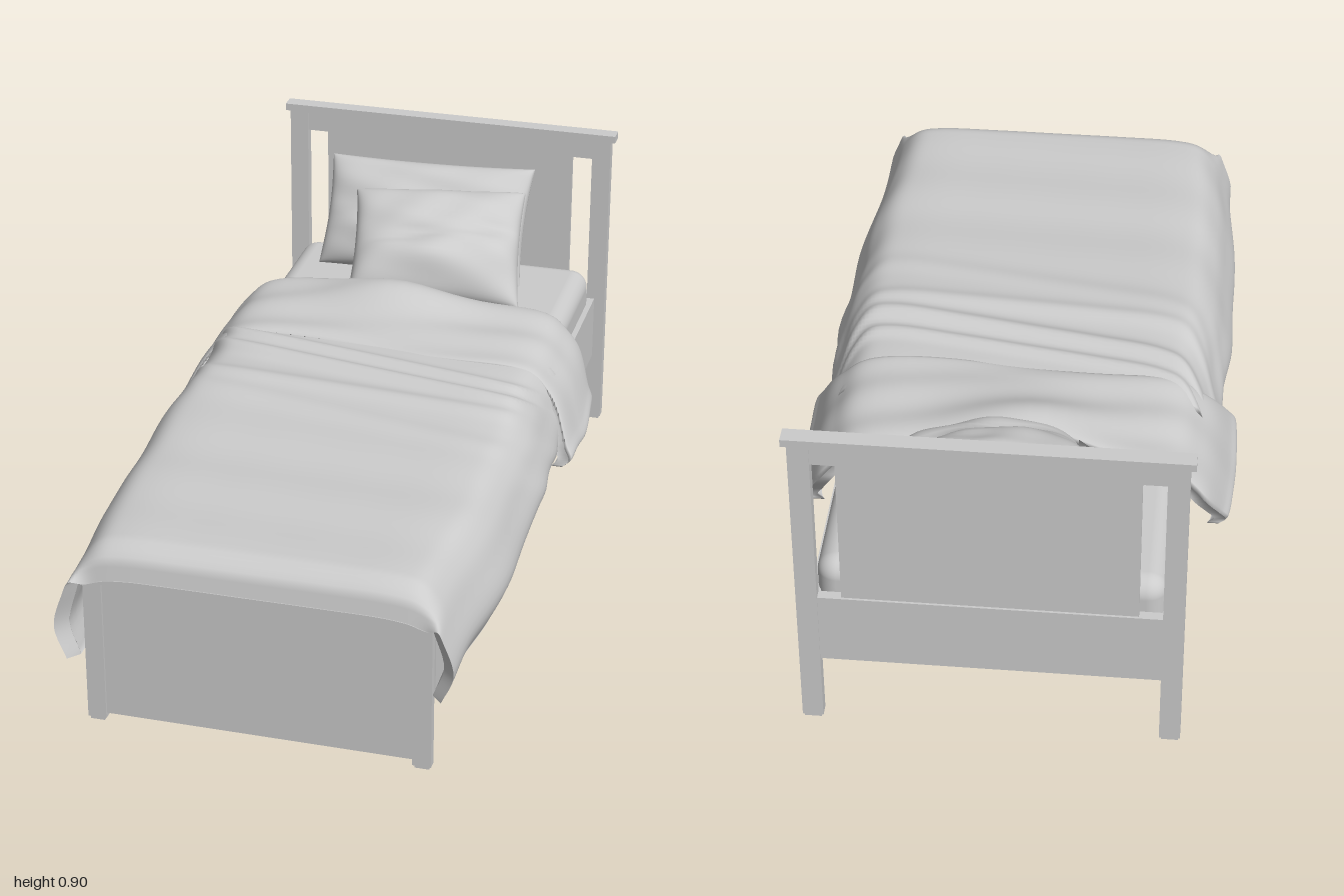
import * as THREE from 'three';
import { RoundedBoxGeometry } from 'three/addons/geometries/RoundedBoxGeometry.js';

const material = new THREE.MeshStandardMaterial({ color: 0xcccccc, side: THREE.DoubleSide });
const { smoothstep, lerp } = THREE.MathUtils;
const ridge = (d, width, height) => height * Math.exp(-((d / width) ** 2));

function addMesh(parent, name, geometry, x = 0, y = 0, z = 0) {
  const mesh = new THREE.Mesh(geometry, material);
  mesh.name = name;
  mesh.position.set(x, y, z);
  parent.add(mesh);
  return mesh;
}

// Box given by its limits on each axis
function addBox(parent, name, [x0, x1], [y0, y1], [z0, z1]) {
  const geometry = new THREE.BoxGeometry(x1 - x0, y1 - y0, z1 - z0);
  return addMesh(parent, name, geometry, (x0 + x1) / 2, (y0 + y1) / 2, (z0 + z1) / 2);
}

// Closed soft shell made of an outer and an inner surface, joined around the rim
function shell(nu, nv, outer, inner) {
  const positions = [], index = [];
  for (const surface of [outer, inner])
    for (let j = 0; j <= nv; j++)
      for (let i = 0; i <= nu; i++) positions.push(...surface(i / nu, j / nv));
  const layer = (nu + 1) * (nv + 1);
  const at = (i, j) => j * (nu + 1) + i;
  const quad = (a, b, c, d) => index.push(a, b, c, a, c, d);
  for (let j = 0; j < nv; j++)
    for (let i = 0; i < nu; i++) {
      const [a, b, c, d] = [at(i, j), at(i, j + 1), at(i + 1, j + 1), at(i + 1, j)];
      quad(a, b, c, d);
      quad(a + layer, d + layer, c + layer, b + layer);
    }
  const rim = (a, b) => quad(b, a, a + layer, b + layer);
  for (let i = 0; i < nu; i++) {
    rim(at(i, 0), at(i + 1, 0));
    rim(at(i + 1, nv), at(i, nv));
  }
  for (let j = 0; j < nv; j++) {
    rim(at(0, j + 1), at(0, j));
    rim(at(nu, j), at(nu, j + 1));
  }
  const geometry = new THREE.BufferGeometry();
  geometry.setAttribute('position', new THREE.Float32BufferAttribute(positions, 3));
  geometry.setIndex(index);
  geometry.computeVertexNormals();
  return geometry;
}

// Half cross-sections of draped cloth: fraction of half width, fraction of drop
const profile = (points) => new THREE.CatmullRomCurve3(points.map(([x, y]) => new THREE.Vector3(x, y, 0)));
const duvetProfile = profile([
  [0, 0], [0.35, 0], [0.68, 0.01], [0.8, 0.05], [0.89, 0.2], [0.95, 0.42], [1, 0.72], [0.94, 1],
]);
const foldProfile = profile([
  [0, 0], [0.35, 0], [0.64, 0.02], [0.75, 0.085], [0.84, 0.27], [0.9, 0.45], [0.97, 0.78], [1, 0.92], [0.97, 1],
]);

function drapePoint(curve, u, width, top, hem) {
  const p = curve.getPoint(Math.abs(2 * u - 1));
  return [Math.sign(u - 0.5) * p.x * width, lerp(top, hem, p.y), p.y];
}

// Main duvet, hanging at both sides and over the foot end
function duvetPoint(u, v) {
  const roll = smoothstep(v, 0.9, 1);
  let z = lerp(-0.3, 0.945, Math.min(v / 0.94, 1));
  const side = Math.sign(u - 0.5);
  const width = 0.53 - 0.03 * smoothstep(z, 0.45, 0.95) - 0.015 * smoothstep(-z, -0.2, 0.1)
    + 0.003 * Math.sin(z * 13 + side);
  const top = 0.526 - 0.02 * smoothstep(z, 0, 0.5) - 0.004 * smoothstep(z, 0.5, 0.9);
  const hem = (side < 0 ? 0.192 : 0.222) + 0.065 * smoothstep(-z, -0.55, 0.15) + 0.004 * Math.sin(z * 17);
  let [x, y, drop] = drapePoint(duvetProfile, u, width, top, hem);
  // Diagonal creases gathered near the folded-back part, fading to the foot
  const crease = z - 0.17 * x + 0.35 * drop;
  y += (1 - drop) * (ridge(crease + 0.14, 0.022, 0.014) + ridge(crease + 0.06, 0.03, 0.02)
    + ridge(crease - 0.05 + 0.1 * x, 0.03, 0.01) + ridge(crease - 0.17, 0.04, 0.006)
    + 0.002 * Math.sin(crease * 24 + 3 * x));
  x += side * drop * (ridge(crease - 0.1, 0.05, 0.01) + ridge(crease - 0.28, 0.05, 0.007));
  // Foot end rolls down in the middle and forms ears at the corners
  const middle = 1 - smoothstep(drop, 0.03, 0.35);
  y -= 0.085 * roll * middle;
  z += roll * lerp(0.045, 0.017, middle);
  return [x, y, z];
}

// Part folded back towards the foot, raised where it meets the pillow
function foldPoint(u, v) {
  const side = Math.sign(u - 0.5);
  const width = 0.56 + 0.004 * Math.sin(5 * v + side) - (side > 0 ? 0.025 * (1 - smoothstep(v, 0, 0.6)) : 0);
  const [x0, y0, drop] = drapePoint(foldProfile, u, width, 0.537, 0.288 + 0.008 * Math.sin(9 * v));
  const head = -0.53 - 0.045 * smoothstep(Math.abs(x0), 0.05, 0.38) + 0.075 * smoothstep(drop, 0.35, 1);
  const foot = -0.2 + 0.015 * Math.sin(x0 * 7) + 0.1 * smoothstep(drop, 0.1, 1);
  const z = lerp(head, foot, v);
  const edge = Math.sqrt(Math.max(0, 1 - Math.abs(2 * v - 1) ** 8));
  const hump = ridge(x0 + 0.04, 0.2, 0.062) * (1 - smoothstep(v, 0.1, 0.8));
  const wave = 0.004 * Math.sin(z * 38 + x0 * 6) * (1 - drop);
  return [x0 - side * 0.012 * (1 - edge) * drop, y0 + hump + wave - 0.018 * (1 - edge) * (1 - drop), z];
}

function lining(surface, thickness) {
  return (u, v) => {
    const [x, y, z] = surface(u, v);
    const sideways = smoothstep(Math.abs(x), 0.36, 0.5);
    const front = smoothstep(z, 0.9, 0.96);
    return [x - Math.sign(x) * thickness * sideways, y - thickness * (1 - sideways) * (1 - front), z - thickness * front];
  };
}

// Cushion with pinched seams, pointed corners and a few soft wrinkles
function pillowGeometry(width, height, depth, sag) {
  const surface = (face) => (u, v) => {
    // Sine spacing gathers the rows at the seams, which keeps the edges plump
    const a = Math.sin((u - 0.5) * Math.PI), b = Math.sin((0.5 - v) * Math.PI);
    const x = (a * width / 2) * (1 - 0.04 * (1 - b * b));
    const y = (b * height / 2) * (1 - 0.05 * (1 - a * a)) + 0.006 * a * b;
    const puff = Math.pow((1 - a * a) * (1 - b * b), 0.38);
    const wrinkle = 0.004 * Math.sin(9 * b + 4 * a) + 0.003 * Math.sin(8 * a - 5 * b);
    const bulge = face > 0 ? ridge(b + 0.45 - 0.15 * a, 0.35, sag) - ridge(b - 0.02 - 0.2 * a, 0.1, sag * 0.5) : 0;
    return [x, y, face * puff * (depth / 2 + wrinkle + bulge)];
  };
  return shell(40, 32, surface(1), surface(-1));
}

export function createModel() {
  const bed = new THREE.Group();
  bed.name = 'bed';

  const frame = new THREE.Group();
  frame.name = 'frame';
  frame.position.x = 0.004;
  bed.add(frame);

  const headboard = new THREE.Group();
  headboard.name = 'headboard';
  addBox(headboard, 'headboardCap', [-0.483, 0.483], [0.877, 0.897], [-1, -0.957]);
  addBox(headboard, 'headboardTopRail', [-0.42, 0.42], [0.82, 0.88], [-0.99, -0.965]);
  addBox(headboard, 'headboardPanel', [-0.36, 0.36], [0.38, 0.83], [-0.984, -0.97]);
  addBox(headboard, 'headboardLowerRail', [-0.42, 0.42], [0.2, 0.4], [-0.99, -0.965]);

  const footboard = new THREE.Group();
  footboard.name = 'footboard';
  addBox(footboard, 'footboardPanel', [-0.4, 0.4], [0.02, 0.39], [0.93, 0.945]);
  addBox(footboard, 'footboardCap', [-0.435, 0.435], [0.39, 0.41], [0.925, 0.952]);

  // Posts and rails, mirrored
  for (const s of [-1, 1]) {
    const span = (a, b) => (s > 0 ? [a, b] : [-b, -a]);
    addBox(headboard, 'headboardPost', span(0.418, 0.47), [0.008, 0.88], [-0.993, -0.962]);
    addBox(headboard, 'headboardFoot', span(0.423, 0.465), [0, 0.008], [-0.99, -0.965]);
    addBox(footboard, 'footboardPost', span(0.39, 0.437), [0.008, 0.39], [0.927, 0.952]);
    addBox(footboard, 'footboardFoot', span(0.395, 0.432), [0, 0.008], [0.93, 0.949]);
    addBox(frame, 'sideRail', span(0.415, 0.44), [0.205, 0.387], [-0.965, 0.928]);
  }
  frame.add(headboard, footboard);

  addBox(frame, 'mattressBase', [-0.415, 0.415], [0.295, 0.32], [-0.965, 0.93]);
  addMesh(frame, 'mattress', new RoundedBoxGeometry(0.85, 0.185, 1.84, 6, 0.05), 0, 0.393, -0.045);

  addMesh(bed, 'duvet', shell(72, 110, duvetPoint, lining(duvetPoint, 0.03)));
  addMesh(bed, 'duvetFold', shell(72, 44, foldPoint, lining(foldPoint, 0.03)));

  const backPillow = addMesh(bed, 'backPillow', pillowGeometry(0.59, 0.33, 0.16, 0.012), -0.035, 0.627, -0.865);
  backPillow.rotation.set(-0.55, 0.03, -0.01, 'YXZ');
  const frontPillow = addMesh(bed, 'frontPillow', pillowGeometry(0.48, 0.36, 0.19, 0.025), 0.035, 0.612, -0.71);
  frontPillow.rotation.set(-0.93, 0.19, -0.02, 'YXZ');

  return bed;
}
